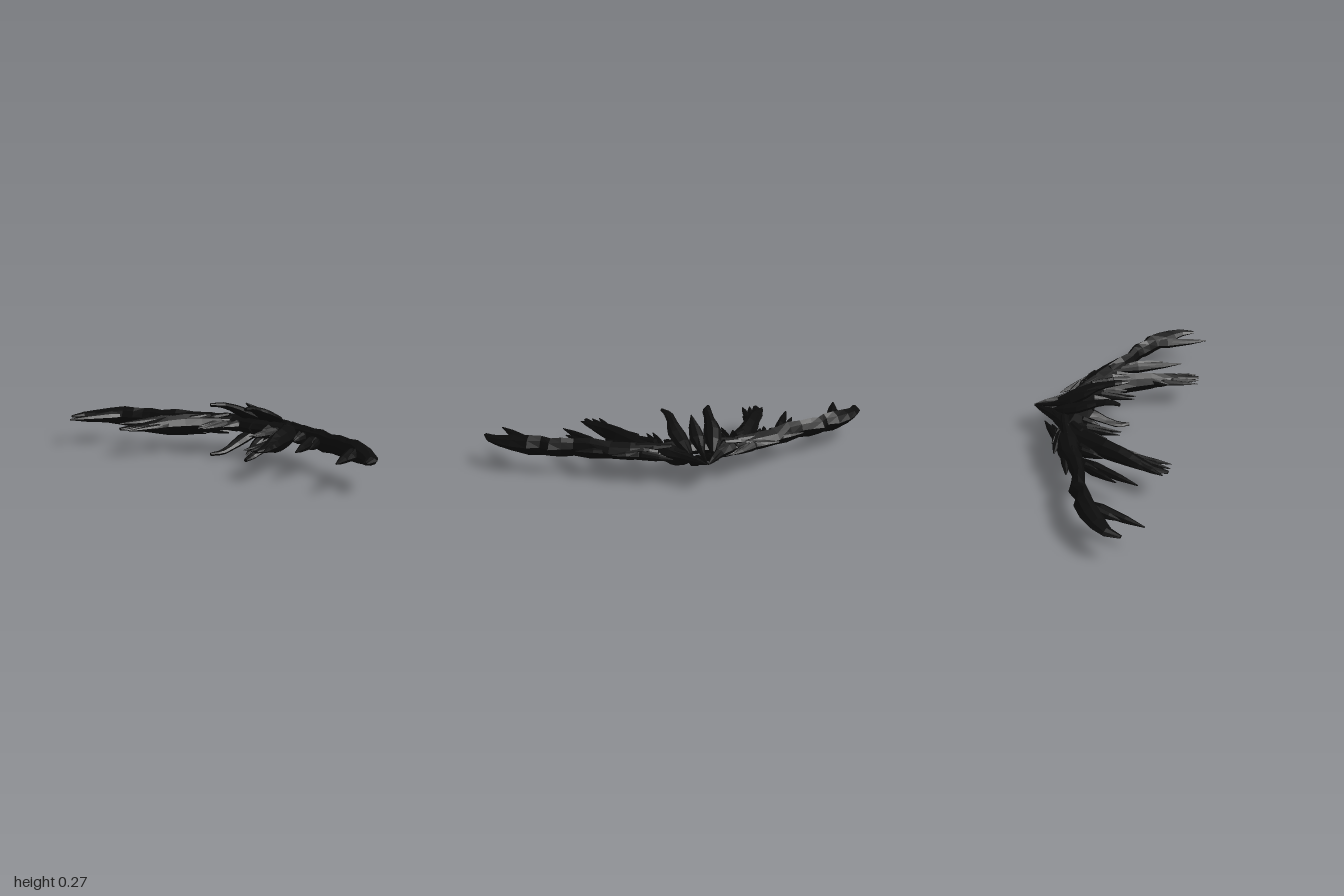
import * as THREE from 'three';

const MID = 0.137; // height of the plane of symmetry
const black = new THREE.MeshStandardMaterial({ color: 0x0c0c0c });
black.name = 'charcoal black';
black.flatShading = true;

// Tapered blade through rows of [x, height, z, half width, half thickness]
function blade(rows, sy, sz) {
  const SIDES = 8, pos = [], idx = [];
  const pts = rows.map(r => new THREE.Vector3(r[0], r[1], r[2]));
  const up = new THREE.Vector3(0, 1, 0);
  rows.forEach((r, i) => {
    const t = pts[Math.min(i + 1, pts.length - 1)].clone().sub(pts[Math.max(i - 1, 0)]).normalize();
    const side = new THREE.Vector3().crossVectors(t, up).normalize();
    const top = new THREE.Vector3().crossVectors(side, t);
    for (let k = 0; k < SIDES; k++) {
      const a = (k / SIDES) * Math.PI * 2;
      const ridge = k % 2 ? 0.9 : 1;
      const p = pts[i].clone()
        .addScaledVector(side, Math.cos(a) * r[3] * ridge)
        .addScaledVector(top, Math.sin(a) * r[4] * ridge);
      pos.push(p.x, MID + sy * p.y, sz * p.z);
    }
  });
  // Mirroring once reverses the corner order
  const mirrored = sy * sz < 0;
  const tri = (a, b, c) => (mirrored ? idx.push(a, c, b) : idx.push(a, b, c));
  for (let i = 0; i < rows.length - 1; i++) {
    for (let k = 0; k < SIDES; k++) {
      const a = i * SIDES + k, b = i * SIDES + (k + 1) % SIDES;
      tri(a, a + SIDES, b);
      tri(b, a + SIDES, b + SIDES);
    }
  }
  const last = (rows.length - 1) * SIDES;
  for (let k = 1; k < SIDES - 1; k++) {
    tri(0, k, k + 1);
    tri(last, last + k + 1, last + k);
  }
  const g = new THREE.BufferGeometry();
  g.setAttribute('position', new THREE.Float32BufferAttribute(pos, 3));
  g.setIndex(idx);
  g.computeVertexNormals();
  return g;
}

// Straight feather from root to tip, its root lifted off the flat plane
const feather = ([x0, z0, x1, z1, w, h = w, y = 0]) => [0, 0.3, 0.7, 1].map((t, i) => [
  x0 + (x1 - x0) * t, y * (1 - t), z0 + (z1 - z0) * t,
  w * [0.6, 1, 0.7, 0.14][i], h * [0.6, 1, 0.6, 0.1][i]]);

export function createModel() {
  const root = new THREE.Group();
  root.name = 'branchingWings';
  const add = (parent, name, rows, sy, sz) => {
    const m = new THREE.Mesh(blade(rows, sy, sz), black);
    m.name = name;
    parent.add(m);
  };

  // Long curved limb of each wing
  const limb = [
    [0.14, 0, 0, 0.06, 0.04], [0.15, 0, 0.1, 0.055, 0.04], [0.16, 0, 0.2, 0.055, 0.035],
    [0.135, 0, 0.32, 0.06, 0.046], [0.1, 0, 0.41, 0.055, 0.044], [0.05, 0, 0.5, 0.042, 0.055],
    [0.015, 0, 0.58, 0.03, 0.045], [0.003, 0, 0.64, 0.032, 0.05], [-0.01, 0, 0.69, 0.045, 0.046],
    [-0.045, 0, 0.73, 0.034, 0.05], [-0.062, 0, 0.79, 0.048, 0.053], [-0.11, 0, 0.86, 0.052, 0.042],
    [-0.155, 0, 0.92, 0.042, 0.03], [-0.205, 0, 0.966, 0.03, 0.02], [-0.27, 0, 0.988, 0.012, 0.006]];

  // Heavy rear branch
  const branch = [
    [0.19, 0, 0.17, 0.04, 0.03], [0.11, 0, 0.23, 0.06, 0.045], [0.02, 0, 0.29, 0.05, 0.052],
    [-0.06, 0, 0.335, 0.045, 0.055], [-0.14, 0, 0.37, 0.04, 0.048], [-0.2, 0, 0.4, 0.04, 0.035],
    [-0.25, 0, 0.425, 0.038, 0.024], [-0.31, 0, 0.45, 0.028, 0.014], [-0.38, 0, 0.462, 0.012, 0.007]];

  // Forward prong that meets its twin at the point
  const prong = [
    [0.15, 0, 0.2, 0.04, 0.035], [0.2, 0, 0.13, 0.05, 0.04], [0.26, 0, 0.085, 0.03, 0.028],
    [0.34, 0, 0.035, 0.014, 0.018], [0.39, 0, 0.004, 0.003, 0.003]];

  // Loose feathers: root x z, tip x z, half width, half thickness
  const feathers = [
    [0.17, 0.33, 0.295, 0.145, 0.022, 0.025], [0.2, 0.28, 0.25, 0.17, 0.025],
    [0.15, 0.3, 0.075, 0.58, 0.03, 0.03], [0.19, 0.2, 0.175, 0.42, 0.03, 0.03],
    [0.2, 0.2, 0.205, 0.34, 0.02, 0.03], [0.14, 0.34, 0.1, 0.51, 0.025, 0.03],
    [-0.06, 0.78, -0.355, 0.898, 0.03, 0.03], [-0.06, 0.8, -0.25, 0.875, 0.028, 0.03],
    [0.05, 0.45, -0.265, 0.597, 0.026, 0.03], [0.02, 0.5, -0.165, 0.597, 0.016, 0.025],
    [0.04, 0.48, -0.09, 0.53, 0.018, 0.025], [0.09, 0.37, -0.06, 0.412, 0.017, 0.03],
    [0.1, 0.33, -0.03, 0.385, 0.016, 0.03], [-0.14, 0.36, -0.385, 0.392, 0.02, 0.018],
    [-0.2, 0.385, -0.385, 0.43, 0.018, 0.018], [-0.18, 0.4, -0.36, 0.493, 0.024, 0.022],
    [-0.1, 0.35, -0.24, 0.35, 0.014, 0.03], [-0.03, 0.34, -0.2, 0.42, 0.022, 0.035],
    [0.15, 0.16, -0.095, 0.163, 0.018, 0.025], [0.14, 0.18, -0.095, 0.195, 0.016, 0.025],
    [0.16, 0.2, -0.04, 0.24, 0.025, 0.03], [0.14, 0.1, 0.02, 0.13, 0.025, 0.03]];

  // Layered plumes raised along the upper and lower faces
  const plumes = [
    [0.2, 0.13, 0.11, 0.4, 0.028, 0.02, 0.035], [0.18, 0.2, 0.06, 0.5, 0.026, 0.02, 0.035],
    [0.14, 0.2, -0.06, 0.36, 0.025, 0.02, 0.045], [0.04, 0.27, -0.2, 0.41, 0.022, 0.018, 0.044],
    [0.09, 0.4, 0.0, 0.66, 0.02, 0.018, 0.035], [0.0, 0.64, -0.07, 0.83, 0.02, 0.014, 0.035],
    [-0.05, 0.76, -0.19, 0.94, 0.022, 0.014, 0.035], [0.27, 0.075, 0.13, 0.22, 0.022, 0.02, 0.018]];

  // Raised horn and central crest of the hub
  const horn = [
    [0.28, 0.012, 0.055, 0.012, 0.012], [0.2, 0.04, 0.075, 0.04, 0.027],
    [0.13, 0.068, 0.09, 0.045, 0.027], [0.08, 0.09, 0.095, 0.034, 0.023],
    [0.04, 0.105, 0.095, 0.025, 0.018], [-0.01, 0.12, 0.098, 0.024, 0.015],
    [-0.04, 0.124, 0.105, 0.02, 0.012], [-0.078, 0.126, 0.12, 0.009, 0.009]];
  const crest = [
    [0.38, 0.002, 0, 0.004, 0.006], [0.3, 0.012, 0, 0.01, 0.014], [0.25, 0.028, 0, 0.022, 0.02],
    [0.19, 0.055, 0, 0.04, 0.027], [0.12, 0.092, 0, 0.028, 0.02], [0.055, 0.133, 0, 0.003, 0.003]];

  for (const sz of [1, -1]) {
    const wing = new THREE.Group();
    wing.name = sz > 0 ? 'frontWing' : 'backWing';
    root.add(wing);
    add(wing, 'limb', limb, 1, sz);
    add(wing, 'rearBranch', branch, 1, sz);
    add(wing, 'forwardProng', prong, 1, sz);
    feathers.forEach(f => add(wing, 'feather', feather(f), 1, sz));
    for (const sy of [1, -1]) {
      plumes.forEach(f => add(wing, 'plume', feather(f), sy, sz));
      add(wing, sy > 0 ? 'upperHorn' : 'lowerHorn', horn, sy, sz);
    }
  }
  add(root, 'upperCrest', crest, 1, 1);
  add(root, 'lowerCrest', crest, -1, 1);
  return root;
}
